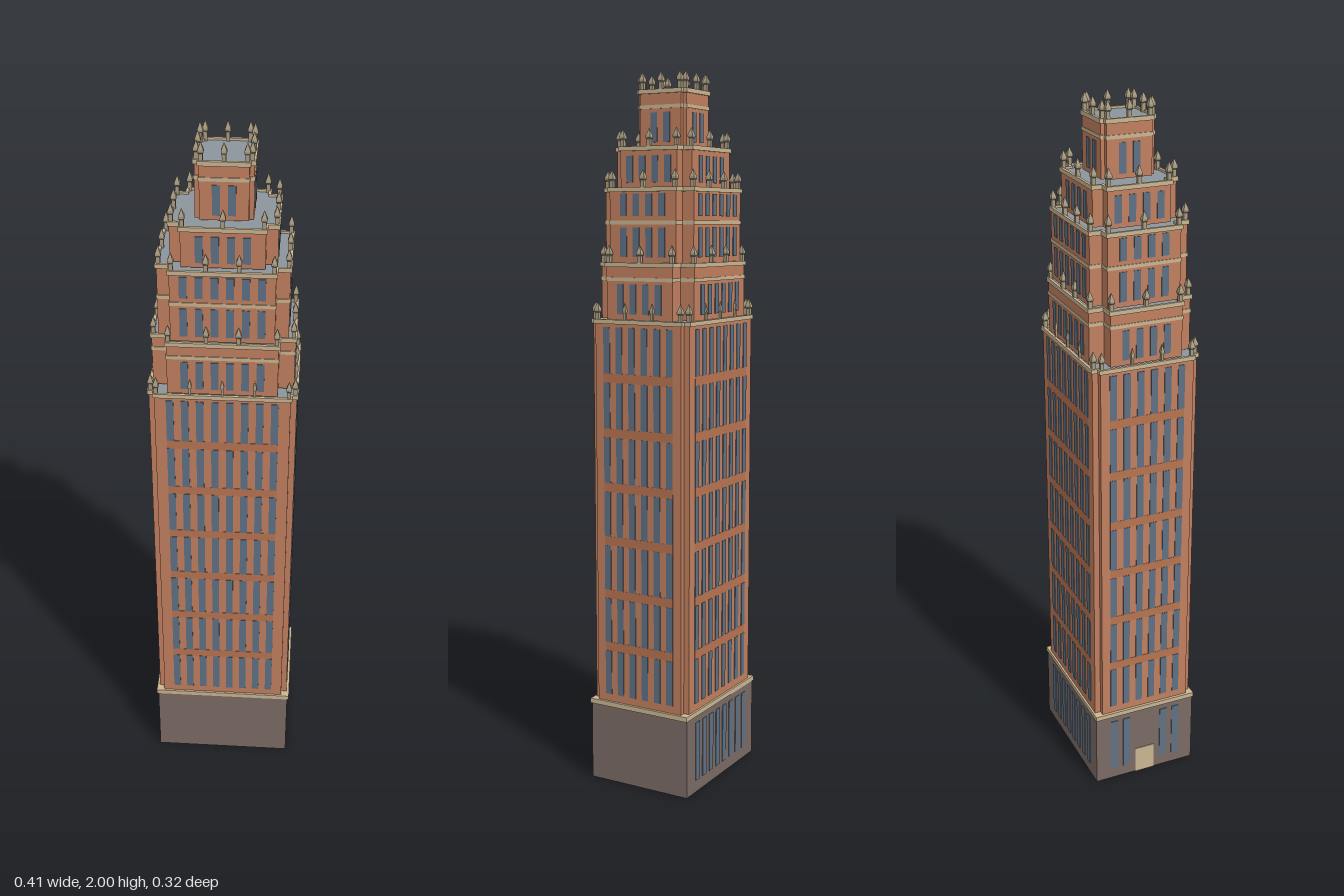
import * as THREE from 'three';
import { mergeGeometries } from 'three/addons/utils/BufferGeometryUtils.js';

const mat = (name, color, extra = {}) => {
  const m = new THREE.MeshStandardMaterial({ color, ...extra });
  m.name = name;
  return m;
};

// Cross-shaped plan (rectangle with notched corners), grown outwards by d
function planPoints({ hx, hz, ax, az }, d = 0) {
  const X = hx + d, Z = hz + d, x = ax + d, z = az + d;
  return [[X, -z], [X, z], [x, z], [x, Z], [-x, Z], [-x, z], [-X, z], [-X, -z],
    [-x, -z], [-x, -Z], [x, -Z], [x, -z]].map(p => new THREE.Vector2(...p));
}

function extrudeUp(shape, y0, y1) {
  const g = new THREE.ExtrudeGeometry(shape, { depth: y1 - y0, bevelEnabled: false });
  return g.rotateX(-Math.PI / 2).translate(0, y0, 0);
}

// Ring that follows a plan, from offset dIn to dOut
function ring(plan, dIn, dOut, y0, y1) {
  const shape = new THREE.Shape(planPoints(plan, dOut));
  shape.holes.push(new THREE.Path(planPoints(plan, dIn).reverse()));
  return extrudeUp(shape, y0, y1);
}

// Thin plate on one wall: u runs along the wall
function plate(side, dist, u, y, w, h) {
  const g = new THREE.BoxGeometry(w, h, 0.004).translate(u, y, dist);
  return g.rotateY({ front: 0, left: Math.PI / 2, back: Math.PI, right: -Math.PI / 2 }[side]);
}

const columns = n => Array.from({ length: n }, (_, i) => (i - (n - 1) / 2) * 0.04);
const SIDES = ['front', 'left', 'back', 'right'];

// Square post with a wider head and a pointed cap
function pinnacle(x, y, z, s = 1) {
  const pts = [[0.0075, -0.012], [0.0075, 0.018], [0.0105, 0.021], [0.0105, 0.027], [0, 0.048]]
    .map(p => new THREE.Vector2(p[0] * s, p[1]));
  const g = new THREE.LatheGeometry(pts, 4, Math.PI / 4).toNonIndexed();
  g.computeVertexNormals();
  return g.translate(x, y, z);
}

// Plans, heights, window rows [bottom, top], window columns, light bands, middle pinnacles
const TIERS = [
  { name: 'shaft', hx: 0.197, hz: 0.153, ax: 0.181, az: 0.136, y0: 0.235, y1: 1.33,
    rows: Array.from({ length: 7 }, (_, i) => [0.26 + i * 0.1535, 0.388 + i * 0.1535]),
    nx: 8, nz: 6, bands: [], midX: [-0.086, 0, 0.086], midZ: [-0.043, 0.043], midSize: 0.65 },
  { name: 'secondTier', hx: 0.188, hz: 0.147, ax: 0.146, az: 0.104, y0: 1.33, y1: 1.485,
    rows: [[1.345, 1.427]], nx: 6, nz: 4, bands: [1.44], midX: [-0.042, 0.042], midZ: [0], midSize: 1 },
  { name: 'thirdTier', hx: 0.17, hz: 0.139, ax: 0.135, az: 0.104, y0: 1.485, y1: 1.687,
    rows: [[1.5, 1.58], [1.61, 1.67]], nx: 6, nz: 4, bands: [1.593], midX: [-0.042, 0.042], midZ: [0], midSize: 1 },
  { name: 'fourthTier', hx: 0.137, hz: 0.118, ax: 0.107, az: 0.089, y0: 1.687, y1: 1.797,
    rows: [[1.7, 1.772]], nx: 4, nz: 4, bands: [], midX: [0], midZ: [0], midSize: 1 },
  { name: 'crownTier', hx: 0.074, hz: 0.075, ax: 0.062, az: 0.064, y0: 1.797, y1: 1.952,
    rows: [[1.81, 1.89]], nx: 2, nz: 2, bands: [1.905], midX: [0], midZ: [0], midSize: 1 },
];

export function createModel() {
  const brick = mat('brick', 0xc17f5f);
  const spandrelMat = mat('spandrelBrick', 0xb87350);
  const glass = mat('windowGlass', 0x5e7185);
  const cream = mat('creamStone', 0xcbb592);
  const finial = mat('pinnacleStone', 0xa99c82);
  const roof = mat('roof', 0x8b959d);
  const stone = mat('baseStone', 0x7b6b65, { side: THREE.DoubleSide });

  const root = new THREE.Group();
  root.name = 'tower';
  const add = (parent, name, geometry, material) => {
    const m = new THREE.Mesh(geometry, material);
    m.name = name;
    parent.add(m);
  };

  // Base: four walls, open below, with a ledge on top
  const base = new THREE.Group();
  base.name = 'base';
  root.add(base);
  const BX = 0.2, BZ = 0.157, BH = 0.225;
  for (const side of SIDES) {
    const along = side === 'front' || side === 'back';
    const wall = new THREE.PlaneGeometry(along ? 2 * BX : 2 * BZ, BH).translate(0, BH / 2, along ? BZ : BX);
    wall.rotateY(SIDES.indexOf(side) * Math.PI / 2);
    add(base, side + 'BaseWall', wall, stone);
  }
  add(base, 'baseLedge', new THREE.BoxGeometry(0.41, 0.014, 0.318).translate(0, 0.231, 0), cream);
  const baseWindows = columns(8).map(u => plate('back', BZ, u, 0.12, 0.022, 0.17));
  for (const u of columns(6)) {
    if (Math.abs(u) > 0.03) baseWindows.push(plate('right', BX, u, 0.12, 0.022, 0.17));
  }
  add(base, 'baseWindows', mergeGeometries(baseWindows), glass);
  add(base, 'door', plate('right', BX, 0, 0.042, 0.06, 0.084), cream);

  // Stepped tiers
  for (const t of TIERS) {
    const g = new THREE.Group();
    g.name = t.name;
    root.add(g);

    add(g, 'walls', extrudeUp(new THREE.Shape(planPoints(t)), t.y0, t.y1 - 0.006), [roof, brick]);
    const trims = [ring(t, -0.004, 0.004, t.y1 - 0.012, t.y1)];
    for (const y of t.bands) trims.push(ring(t, -0.002, 0.002, y - 0.005, y + 0.005));
    add(g, 'corniceAndBands', mergeGeometries(trims), cream);

    // Windows, and brick panels between stacked windows
    const windows = [], panels = [];
    for (const side of SIDES) {
      const along = side === 'front' || side === 'back';
      const n = along ? t.nx : t.nz, dist = along ? t.hz : t.hx;
      t.rows.forEach(([lo, hi], i) => {
        for (const u of columns(n)) windows.push(plate(side, dist, u, (lo + hi) / 2, 0.02, hi - lo));
        if (i > 0 && !t.bands.length) {
          const below = t.rows[i - 1][1];
          panels.push(plate(side, dist - 0.001, 0, (below + lo) / 2, n * 0.04 - 0.02, lo - below));
        }
      });
    }
    add(g, 'windows', mergeGeometries(windows), glass);
    if (panels.length) add(g, 'spandrels', mergeGeometries(panels), spandrelMat);

    // Pinnacles at the outer corners and along each wall
    const pins = [], k = 0.005;
    for (const sx of [-1, 1]) {
      for (const sz of [-1, 1]) {
        pins.push(pinnacle(sx * (t.hx - k), t.y1, sz * (t.az - k)));
        pins.push(pinnacle(sx * (t.ax - k), t.y1, sz * (t.hz - k)));
      }
      for (const x of t.midX) pins.push(pinnacle(x, t.y1, sx * (t.hz - 0.004), t.midSize));
      for (const z of t.midZ) pins.push(pinnacle(sx * (t.hx - 0.004), t.y1, z, t.midSize));
    }
    add(g, 'pinnacles', mergeGeometries(pins), finial);
  }
  return root;
}
